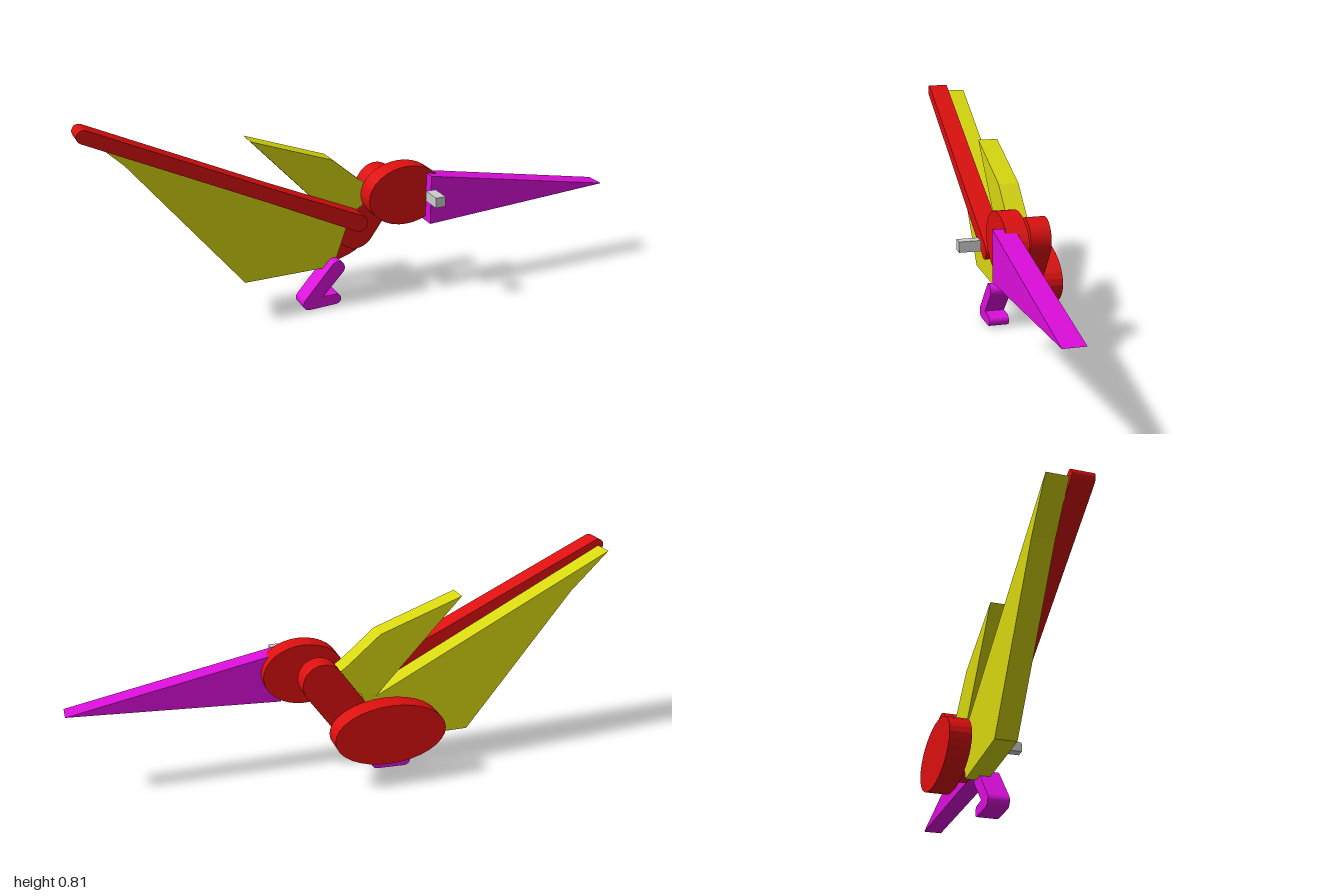
import * as THREE from 'three';

const DEPTH = 0.076;

const paint = (name, hex) => {
  const m = new THREE.MeshStandardMaterial({ color: hex });
  m.name = name;
  return m;
};

// Flat outline from corner points
const polygon = (pts) => new THREE.Shape(pts.map(([x, y]) => new THREE.Vector2(x, y)));

// Ellipse outline
function ellipse(cx, cy, rx, ry) {
  const shape = new THREE.Shape();
  shape.absellipse(cx, cy, rx, ry, 0, Math.PI * 2, false, 0);
  return shape;
}

// Rounded bar between two points, with a radius at each end
function bar([ax, ay], [bx, by], ra, rb = ra) {
  const a = Math.atan2(by - ay, bx - ax), h = Math.PI / 2;
  const shape = new THREE.Shape();
  shape.absarc(ax, ay, ra, a + h, a + 3 * h, false);
  shape.absarc(bx, by, rb, a - h, a + h, false);
  return shape;
}

export function createModel() {
  const red = paint('red', 0xdc0f0f);
  const yellow = paint('yellow', 0xd6d60f);
  const magenta = paint('magenta', 0xda0eda);
  const grey = paint('grey', 0xcccccc);
  const model = new THREE.Group();
  model.name = 'flyingReptile';

  // Each part is a slab on its own layer, centred on z
  const slab = (name, material, z, shape) => {
    const geo = new THREE.ExtrudeGeometry(shape, { depth: DEPTH, bevelEnabled: false, curveSegments: 16 });
    geo.translate(0, 0, z - DEPTH / 2);
    const mesh = new THREE.Mesh(geo, material);
    mesh.name = name;
    model.add(mesh);
  };

  // Torso, neck and head
  slab('body', red, -0.17, ellipse(-0.107, 0.214, 0.208, 0.114));
  slab('neck', red, -0.094, bar([0.01, 0.252], [0.12, 0.405], 0.075));
  slab('head', red, 0.019, ellipse(0.16, 0.406, 0.15, 0.112));
  slab('beak', magenta, 0.057, polygon([[0.24, 0.293], [1, 0.333], [0.24, 0.48]]));
  slab('eye', grey, 0.172, polygon([[0.198, 0.405], [0.236, 0.405], [0.236, 0.443], [0.198, 0.443]]));

  // Wing membrane with the far wing tip rising behind
  slab('wingMembrane', yellow, -0.057, polygon([
    [-0.98, 0.785], [-0.84, 0.645], [-0.445, 0.142], [-0.1, 0.14], [-0.03, 0.335],
    [0.085, 0.405], [0.02, 0.452], [-0.1, 0.556], [-0.405, 0.668], [-0.085, 0.32],
  ]));

  // Wing arm in two segments
  slab('outerWingArm', red, 0.019, bar([-0.977, 0.786], [-0.366, 0.49], 0.023, 0.025));
  slab('innerWingArm', red, 0.019, bar([-0.366, 0.49], [-0.026, 0.326], 0.025, 0.031));

  // Leg and foot
  slab('leg', magenta, -0.018, bar([-0.1, 0.147], [-0.212, 0.026], 0.028, 0.025));
  slab('foot', magenta, -0.018, bar([-0.215, 0.024], [-0.108, 0.024], 0.023, 0.02));

  return model;
}
